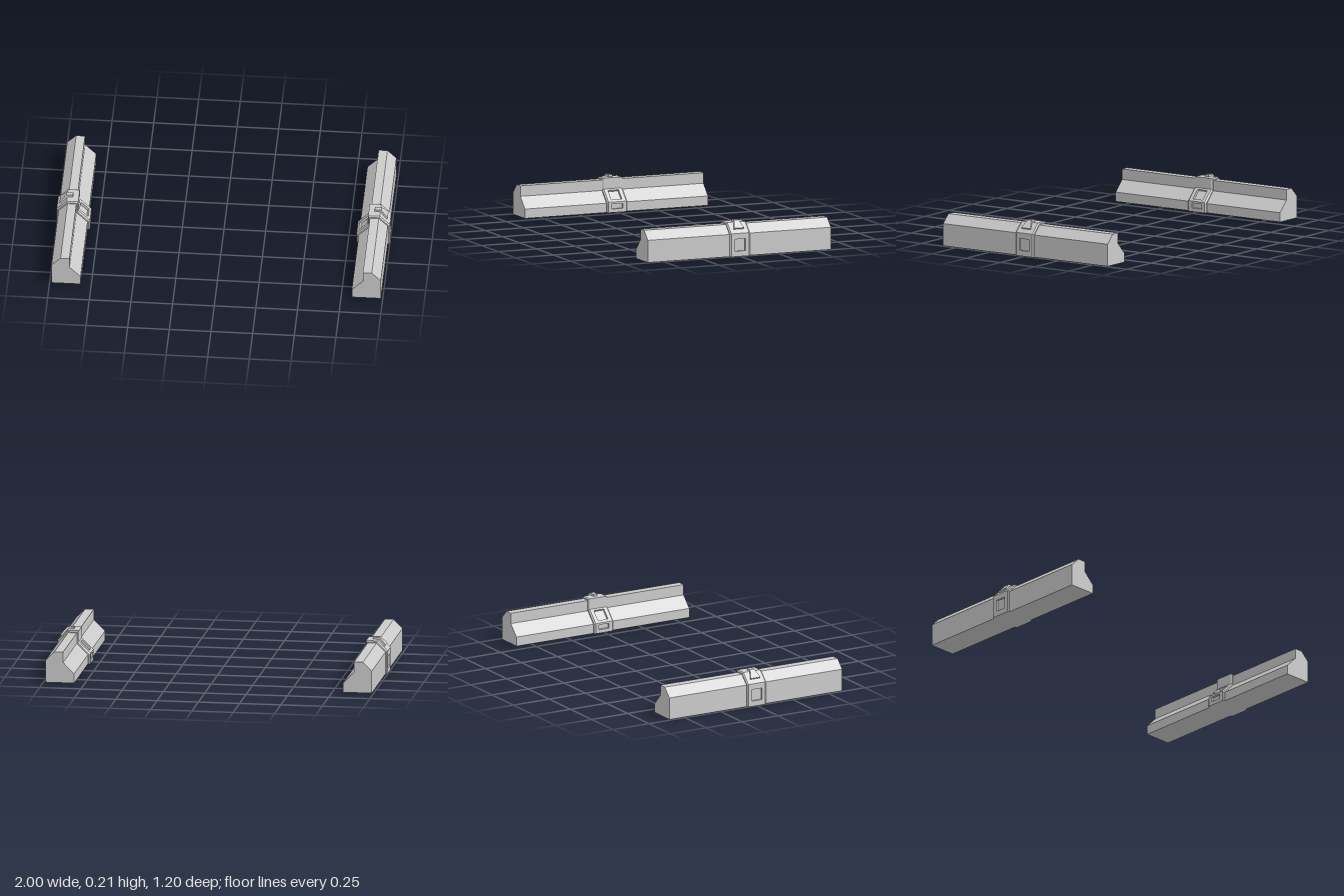
import * as THREE from 'three';

const material = new THREE.MeshStandardMaterial({ color: 0xcccccc, flatShading: true });

// Cross-sections, counter-clockwise from the outer foot
const railProfile = [[0.988, 0], [0.988, 0.135], [0.934, 0.188], [0.881, 0.188], [0.881, 0.124], [0.814, 0.057], [0.814, 0]];
const collarProfile = [[1, 0], [1, 0.14], [0.94, 0.2], [0.87, 0.2], [0.87, 0.134], [0.8, 0.064], [0.8, 0]];
const collarEndProfile = collarProfile.map(([x, y], i) => [
  THREE.MathUtils.lerp(x, railProfile[i][0], 0.5),
  THREE.MathUtils.lerp(y, railProfile[i][1], 0.5),
]);

// Collar middle: the same outline with pockets cut into the outer wall, inner slope and inner wall
const pocketProfile = [
  [1, 0], [1, 0.033], [0.985, 0.033], [0.985, 0.105], [1, 0.105], [1, 0.14],
  [0.94, 0.2], [0.87, 0.2], [0.87, 0.134],
  [0.862, 0.126], [0.872, 0.116], [0.822, 0.066], [0.812, 0.076],
  [0.8, 0.064], [0.8, 0.052], [0.815, 0.052], [0.815, 0.022], [0.8, 0.022], [0.8, 0],
];

function addMesh(parent, name, geometry) {
  const mesh = new THREE.Mesh(geometry, material);
  mesh.name = name;
  parent.add(mesh);
}

// Prism along z between two depths
function prism(profile, z0, z1) {
  const shape = new THREE.Shape(profile.map(([x, y]) => new THREE.Vector2(x, y)));
  return new THREE.ExtrudeGeometry(shape, { depth: z1 - z0, bevelEnabled: false }).translate(0, 0, z0);
}

// Skin over a row of matching rings, with optional convex caps
function loft(rings, capped) {
  const positions = [];
  const tri = (a, b, c) => positions.push(...a, ...b, ...c);
  for (let s = 0; s < rings.length - 1; s++) {
    const a = rings[s], b = rings[s + 1], n = a.length;
    for (let i = 0; i < n; i++) {
      const j = (i + 1) % n;
      tri(a[i], a[j], b[j]);
      tri(a[i], b[j], b[i]);
    }
  }
  if (capped) {
    const first = rings[0], last = rings[rings.length - 1];
    for (let i = 1; i < first.length - 1; i++) {
      tri(first[0], first[i + 1], first[i]);
      tri(last[0], last[i], last[i + 1]);
    }
  }
  const geometry = new THREE.BufferGeometry();
  geometry.setAttribute('position', new THREE.Float32BufferAttribute(positions, 3));
  geometry.computeVertexNormals();
  return geometry;
}

function createRail() {
  const rail = new THREE.Group();
  addMesh(rail, 'railBody', prism(railProfile, -0.6, 0.6));

  // Collar around the middle of the rail
  const collar = new THREE.Group();
  collar.name = 'collar';
  rail.add(collar);
  addMesh(collar, 'collarPockets', prism(pocketProfile, -0.035, 0.035));
  const ring = (profile, z) => profile.map(([x, y]) => [x, y, z]);
  for (const side of [-1, 1]) {
    const [z0, z1] = [0.035 * side, 0.058 * side].sort((a, b) => a - b);
    addMesh(collar, 'collarBand', prism(collarProfile, z0, z1));
    const bevel = [ring(collarProfile, 0.058 * side), ring(collarEndProfile, 0.066 * side)];
    if (side < 0) bevel.reverse();
    addMesh(collar, 'collarBevel', loft(bevel, false));
    const [e0, e1] = [0.05 * side, 0.066 * side].sort((a, b) => a - b);
    addMesh(collar, 'collarEnd', prism(collarEndProfile, e0, e1));
  }

  // Tapered latch lying over the outer chamfer and the top
  const station = ([bx, by], [tx, ty], w) => [[bx, by, -w], [bx, by, w], [tx, ty, w], [tx, ty, -w]];
  addMesh(rail, 'latch', loft([
    station([0.976, 0.16], [0.985, 0.17], 0.033),
    station([0.938, 0.198], [0.945, 0.213], 0.015),
    station([0.905, 0.198], [0.905, 0.213], 0.013),
  ], true));
  return rail;
}

export function createModel() {
  const model = new THREE.Group();
  model.name = 'railPair';
  const left = createRail();
  left.name = 'leftRail';
  // The rail is symmetric front to back, so a half turn mirrors it
  const right = createRail();
  right.name = 'rightRail';
  right.rotation.y = Math.PI;
  model.add(left, right);
  return model;
}
